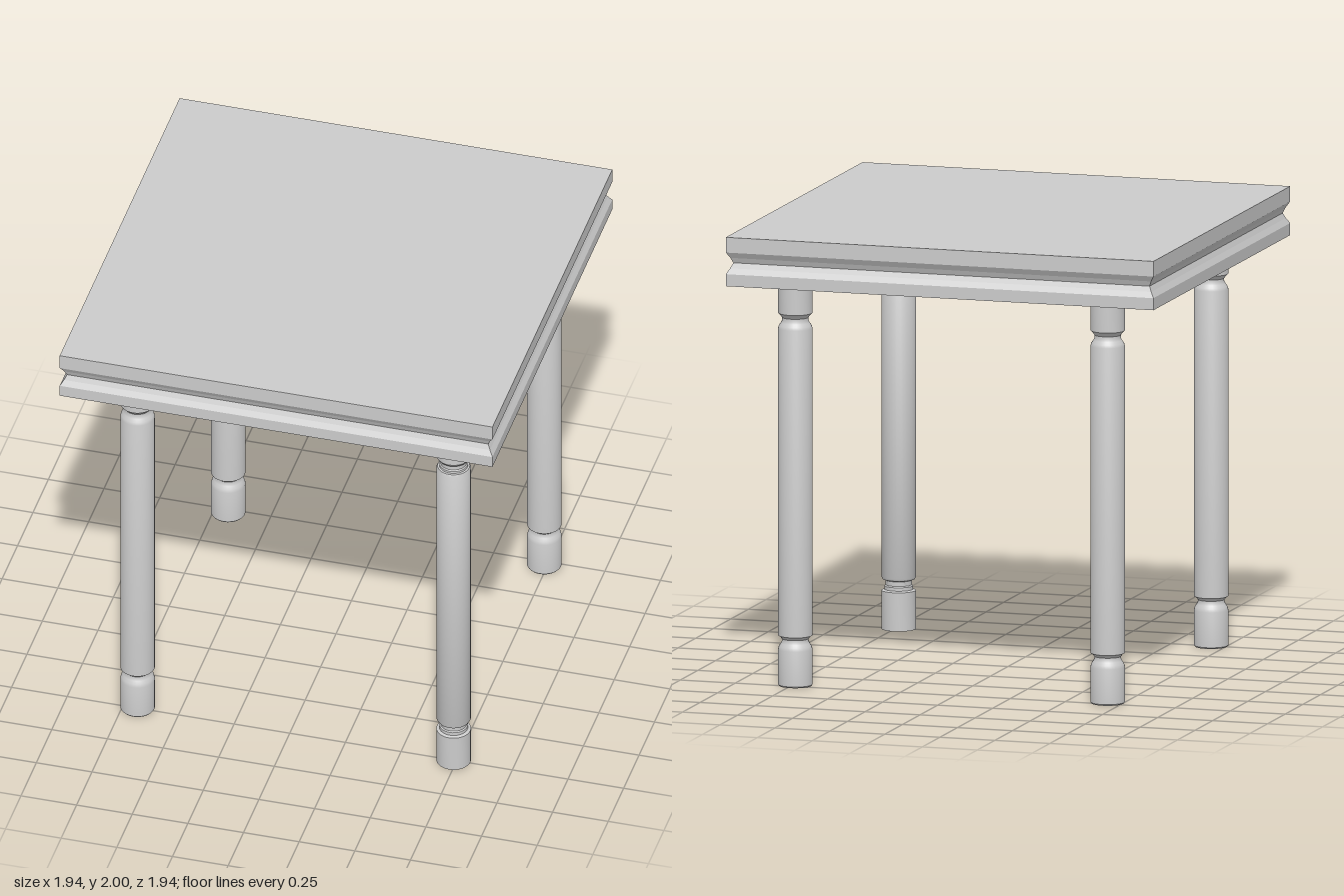
import * as THREE from 'three';
import { toCreasedNormals } from 'three/addons/utils/BufferGeometryUtils.js';

const points = (list) => list.map(([r, y]) => new THREE.Vector2(r, y));

// Leg outlines as [radius, height], from foot to table top
const COLLARED_LEG = [
  [0, 0], [0.075, 0], [0.075, 0.17], [0.062, 0.175], [0.062, 0.19], [0.057, 0.195],
  [0.057, 0.215], [0.07, 0.22], [0.075, 0.23], [0.075, 1.575], [0.07, 1.585],
  [0.062, 1.587], [0.062, 1.597], [0.057, 1.602], [0.057, 1.622], [0.066, 1.627],
  [0.075, 1.64], [0.075, 1.79], [0, 1.79],
];
const ROUNDED_LEG = [
  [0, 0], [0.07, 0], [0.075, 0.006], [0.075, 0.16], [0.071, 0.175], [0.063, 0.187],
  [0.058, 0.197], [0.058, 0.207], [0.066, 0.217], [0.075, 0.222], [0.075, 1.572],
  [0.071, 1.585], [0.062, 1.597], [0.057, 1.607], [0.057, 1.62], [0.066, 1.632],
  [0.075, 1.64], [0.075, 1.79], [0, 1.79],
];

// Edge of the square top as [half width, height], with a shallow groove
const TOP_EDGE = [
  [0, 1.785], [0.972, 1.785], [0.972, 1.838], [0.957, 1.862], [0.946, 1.885],
  [0.956, 1.908], [0.972, 1.933], [0.972, 2], [0, 2],
];

export function createModel() {
  const model = new THREE.Group();
  const material = new THREE.MeshStandardMaterial({ color: 0xcccccc });
  const flat = new THREE.MeshStandardMaterial({ color: 0xcccccc, flatShading: true });

  // Square top: a four-sided turning of the edge outline
  const topGeometry = new THREE.LatheGeometry(
    points(TOP_EDGE.map(([w, y]) => [w * Math.SQRT2, y])), 4);
  topGeometry.rotateY(Math.PI / 4);
  const top = new THREE.Mesh(topGeometry, flat);
  top.name = 'tableTop';
  model.add(top);

  // Four turned legs
  const turn = (profile) =>
    toCreasedNormals(new THREE.LatheGeometry(points(profile), 32), 0.6);
  const collared = turn(COLLARED_LEG);
  const rounded = turn(ROUNDED_LEG);
  for (const [name, geometry, x, z] of [
    ['frontLeftLeg', collared, 0.735, 0.745],
    ['frontRightLeg', rounded, -0.685, 0.745],
    ['backLeftLeg', rounded, 0.735, -0.725],
    ['backRightLeg', rounded, -0.685, -0.725],
  ]) {
    const leg = new THREE.Mesh(geometry, material);
    leg.name = name;
    leg.position.set(x, 0, z);
    model.add(leg);
  }
  return model;
}
